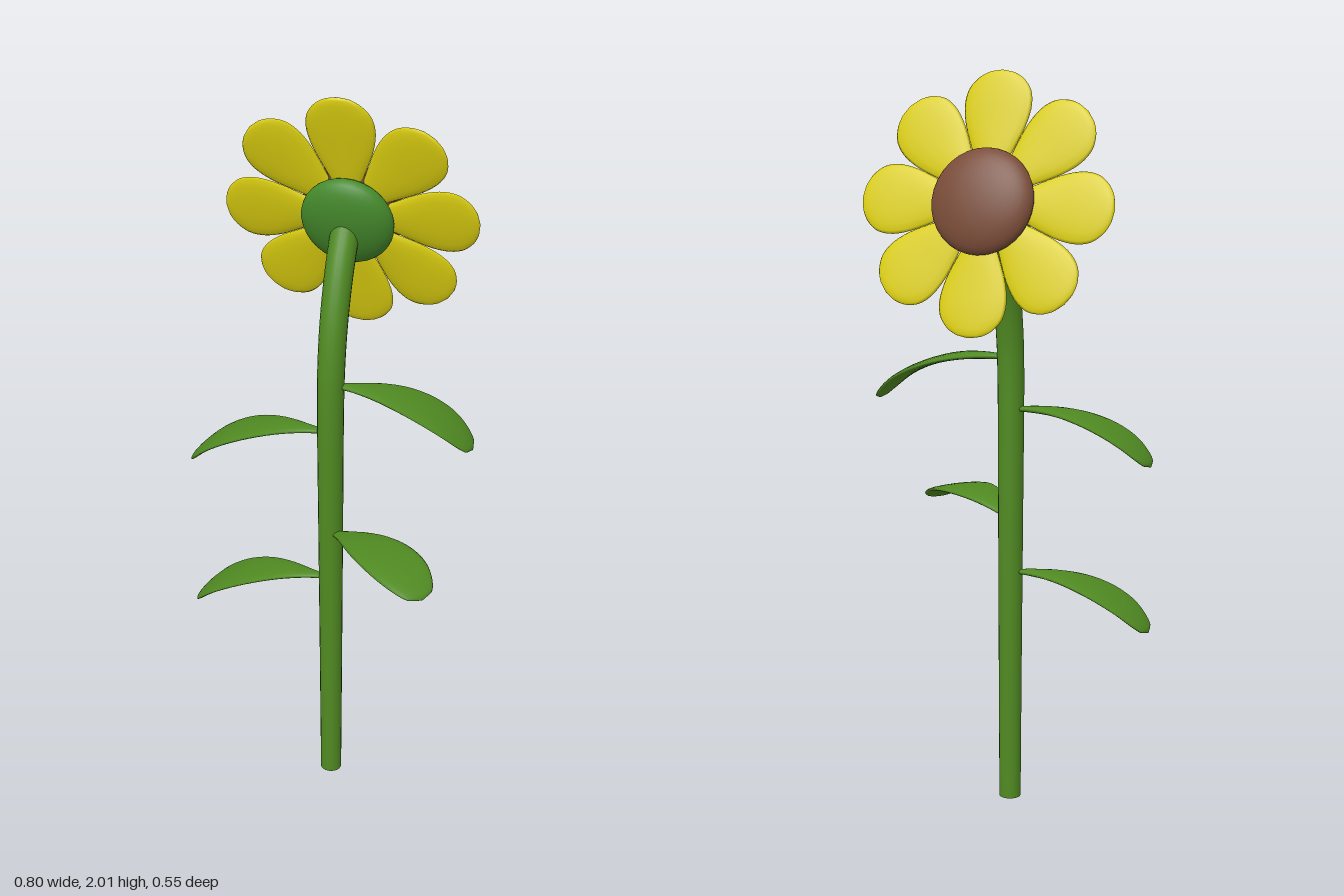
import * as THREE from 'three';

const material = (name, color) => {
  const m = new THREE.MeshStandardMaterial({ color });
  m.name = name;
  return m;
};

// Closed blade along +x: each profile row is [x, y, half width, half thickness]
function bladeGeometry(profile, steps = 32, sides = 16) {
  const centre = new THREE.CatmullRomCurve3(profile.map(([x, y]) => new THREE.Vector3(x, y, 0)));
  const size = new THREE.CatmullRomCurve3(profile.map(([x, , w, t]) => new THREE.Vector3(x, w, t)));
  const positions = [], index = [];
  for (let i = 0; i <= steps; i++) {
    const s = 1 - (1 - i / steps) ** 1.5; // denser rings near the rounded tip
    const c = centre.getPoint(s), d = centre.getTangent(s), q = size.getPoint(s);
    const w = Math.max(q.y, 0.0005), t = Math.max(q.z, 0.0005);
    for (let j = 0; j < sides; j++) {
      const a = (j / sides) * Math.PI * 2, h = Math.sin(a) * t;
      positions.push(c.x - d.y * h, c.y + d.x * h, Math.cos(a) * w);
      if (i === steps) continue;
      const k = (j + 1) % sides, p = i * sides;
      index.push(p + j, p + sides + j, p + k, p + k, p + sides + j, p + sides + k);
    }
  }
  const geometry = new THREE.BufferGeometry();
  geometry.setAttribute('position', new THREE.Float32BufferAttribute(positions, 3));
  geometry.setIndex(index);
  geometry.computeVertexNormals();
  return geometry;
}

export function createModel() {
  const green = material('stem green', 0x508a22);
  const calyxGreen = material('calyx green', 0x458a2c);
  const yellow = material('petal yellow', 0xdccf10);
  const brown = material('seed brown', 0x7a4c38);

  const model = new THREE.Group();
  model.name = 'flower';
  const add = (parent, name, geometry, mat) => {
    const mesh = new THREE.Mesh(geometry, mat);
    mesh.name = name;
    parent.add(mesh);
    return mesh;
  };

  // Stem: straight below, bending back to the head, slightly wider at the top
  const path = new THREE.CatmullRomCurve3([
    [0, -0.005], [0.4, -0.003], [0.8, 0], [1.2, 0.002], [1.3, -0.004],
    [1.42, -0.026], [1.55, -0.073], [1.66, -0.135],
  ].map(([y, z]) => new THREE.Vector3(0.005, y, z)));
  const rings = 60, sides = 20;
  const stem = new THREE.TubeGeometry(path, rings, 1, sides);
  const pos = stem.attributes.position, v = new THREE.Vector3();
  for (let i = 0; i <= rings; i++) {
    const c = path.getPointAt(i / rings);
    for (let j = 0; j <= sides; j++) {
      const n = i * (sides + 1) + j;
      v.fromBufferAttribute(pos, n).sub(c).multiplyScalar(0.03 + 0.009 * i / rings).add(c);
      pos.setXYZ(n, v.x, v.y, v.z);
    }
  }
  add(model, 'stem', stem, green);
  const base = add(model, 'stemBase', new THREE.CircleGeometry(0.03, sides), green);
  base.position.set(0.005, 0, -0.005);
  base.rotation.x = Math.PI / 2;

  // Leaves: the same drooping blade, turned around the stem
  const leafGeometry = bladeGeometry([
    [0.01, 0, 0.006, 0.006], [0.06, 0.002, 0.022, 0.009], [0.13, 0, 0.05, 0.01],
    [0.2, -0.012, 0.074, 0.01], [0.27, -0.036, 0.085, 0.01], [0.33, -0.069, 0.08, 0.009],
    [0.37, -0.103, 0.06, 0.009], [0.388, -0.122, 0.04, 0.007], [0.396, -0.132, 0.001, 0.002],
  ]);
  // [height, turn about the stem, upward tilt]
  [[1.25, 0, 0], [1.11, Math.PI, 0], [0.655, Math.PI, 0], [0.798, -0.64, 0.3]]
    .forEach(([y, turn, tilt]) => {
      const leaf = add(model, 'leaf', leafGeometry, green);
      leaf.position.set(0, y, -0.004);
      leaf.rotation.set(0, turn, tilt);
    });

  // Flower head: local +y is the direction the bloom faces
  const head = new THREE.Group();
  head.name = 'flowerHead';
  head.position.set(0.004, 1.67, -0.175);
  head.rotation.x = THREE.MathUtils.degToRad(-74);
  model.add(head);

  const petalGeometry = bladeGeometry([
    [0.06, 0, 0.026, 0.008], [0.11, 0, 0.044, 0.011], [0.16, 0, 0.066, 0.012],
    [0.21, 0, 0.085, 0.012], [0.26, 0, 0.093, 0.012], [0.3, 0, 0.085, 0.011],
    [0.33, 0, 0.06, 0.009], [0.344, 0, 0.034, 0.006], [0.35, 0, 0.001, 0.001],
  ]);
  for (let i = 0; i < 8; i++) {
    const petal = add(head, 'petal', petalGeometry, yellow);
    petal.rotation.y = (i / 8) * Math.PI * 2 - 0.026;
  }

  // Seed centre in front, calyx behind
  const sphere = new THREE.SphereGeometry(1, 32, 20);
  const seeds = add(head, 'seedCentre', sphere, brown);
  seeds.scale.set(0.14, 0.046, 0.14);
  seeds.position.y = 0.022;
  const calyx = add(head, 'calyx', sphere, calyxGreen);
  calyx.scale.set(0.127, 0.052, 0.127);
  calyx.position.y = -0.03;

  return model;
}
